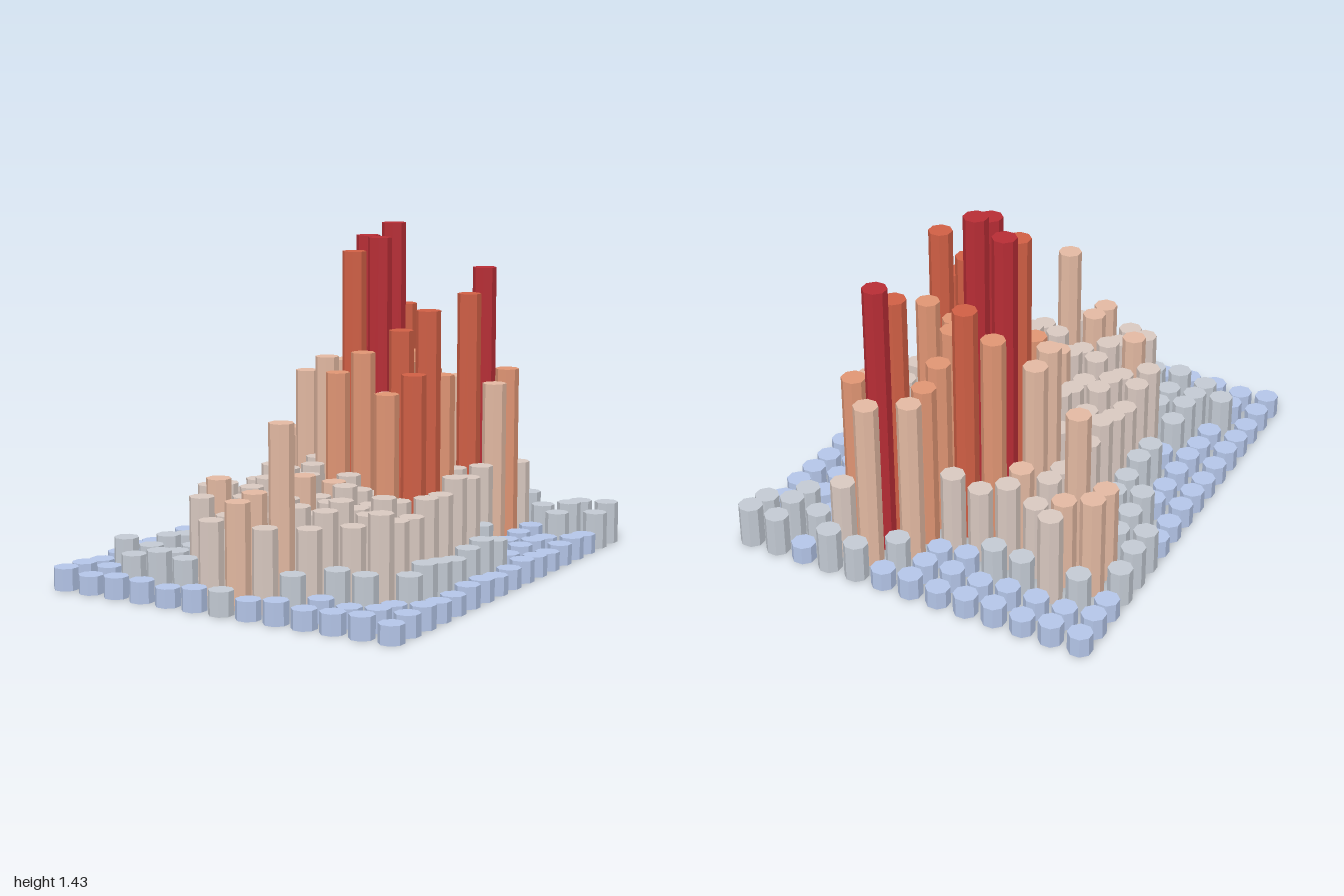
import * as THREE from 'three';

// Plan of the bar field: one string per row from back to front, one digit per bar (0 = lowest band)
const plan = [
  '0000000011011',
  '0000000132111',
  '0121100364010',
  '1332222453000',
  '1332345422000',
  '1112366421000',
  '0112356422100',
  '0112244344210',
  '0012112255210',
  '0012223245210',
  '0012222222210',
  '0002223222210',
  '0012222222210',
  '0011322222210',
  '0111223321100',
  '0011123210000',
  '0000001000000',
];

// Usual height and colour of each band
const bandHeight = [0.085, 0.17, 0.36, 0.41, 0.8, 1.1, 1.37];
const bandColor = [0xb4c5e8, 0xc3cad3, 0xd8c8c0, 0xe3b9a2, 0xe09574, 0xd05f45, 0xb82d35];

// Bars that depart from their band, keyed by column,row
const peaks = {
  '8,1': 0.75, '7,2': 0.73, '8,2': 1.22, '9,2': 0.78, '7,3': 0.74, '8,3': 1.115, '9,3': 0.73,
  '2,4': 0.735, '5,4': 0.97, '6,4': 1.07, '7,4': 0.79, '4,5': 0.82, '5,5': 1.37, '6,5': 1.43, '7,5': 0.885,
  '4,6': 0.845, '5,6': 1.31, '6,6': 1.375, '7,6': 0.85, '5,7': 0.8, '6,7': 0.895, '7,7': 0.73, '8,7': 0.78,
  '9,7': 0.83, '10,7': 0.41, '8,8': 1.02, '9,8': 1.11, '10,8': 0.43, '8,9': 0.77, '9,9': 0.86,
  '4,13': 0.45, '6,14': 0.44, '7,14': 0.73, '6,15': 0.425, '6,16': 0.1,
};

const stepX = 0.127, stepZ = 0.119, flat = 0.048;

export function createModel() {
  const model = new THREE.Group();
  model.name = 'barField';

  // Eight-sided unit bar, flats facing the axes, standing on y = 0
  const bar = new THREE.CylinderGeometry(flat / Math.cos(Math.PI / 8), flat / Math.cos(Math.PI / 8), 1, 8);
  bar.rotateY(Math.PI / 8).translate(0, 0.5, 0);
  const materials = bandColor.map((color) => new THREE.MeshStandardMaterial({ color, flatShading: true }));

  plan.forEach((line, row) => {
    const rowGroup = new THREE.Group();
    rowGroup.name = `barRow${row + 1}`;
    rowGroup.position.z = (row - (plan.length - 1) / 2) * stepZ;
    [...line].forEach((digit, col) => {
      // Gentle ripple keeps neighbours in one band from being equal
      const ripple = 1 + 0.1 * Math.sin(col * 2.3 + row * 1.7);
      const height = peaks[`${col},${row}`] ?? bandHeight[digit] * ripple;
      const mesh = new THREE.Mesh(bar, materials[digit]);
      mesh.name = `bar${col + 1}`;
      mesh.scale.y = height;
      // The tallest bars stand slightly to one side
      mesh.position.x = (col - (line.length - 1) / 2) * stepX + (height > 1.2 ? 0.011 : 0);
      rowGroup.add(mesh);
    });
    model.add(rowGroup);
  });

  return model;
}
